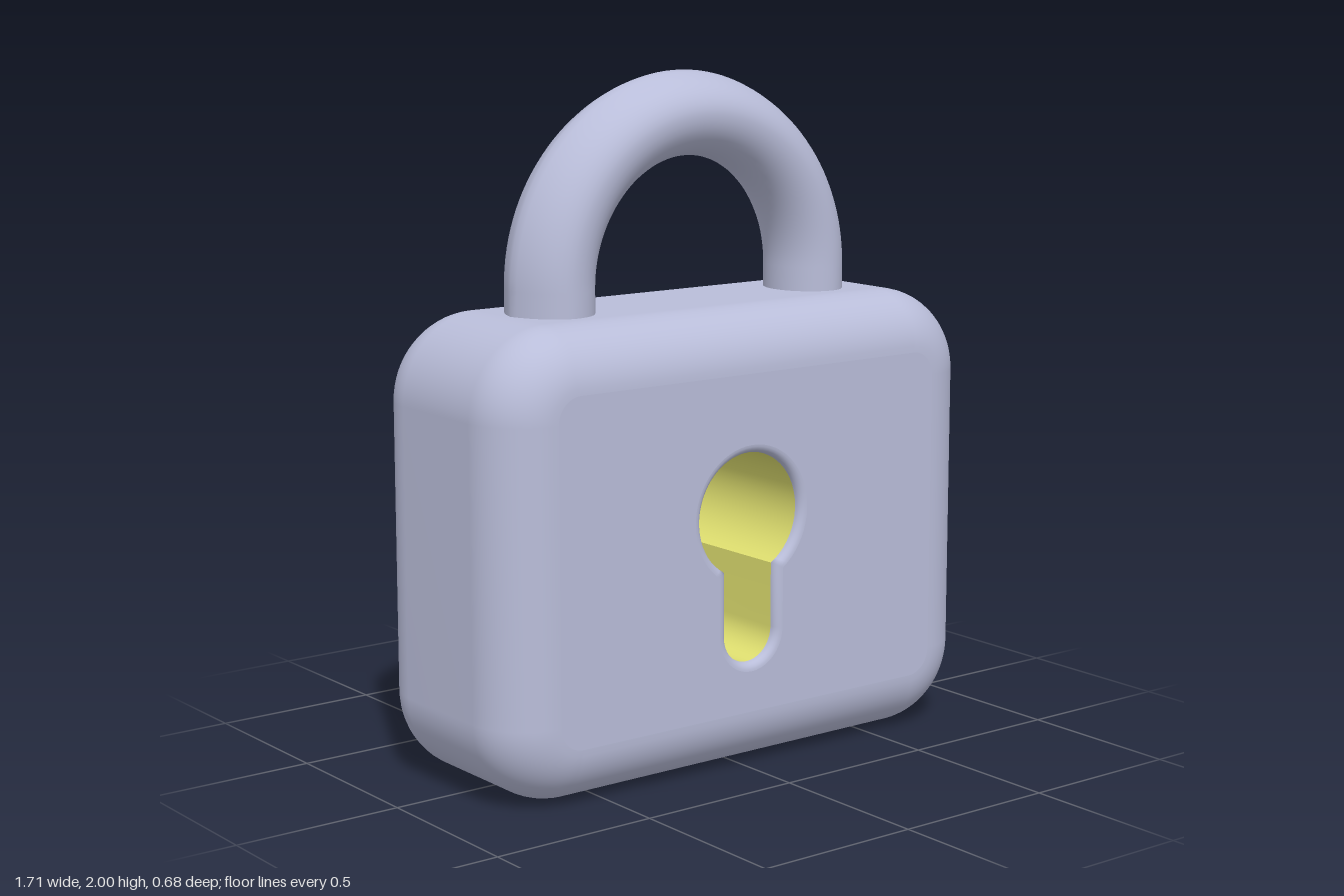
import * as THREE from 'three';
import { toCreasedNormals } from 'three/addons/utils/BufferGeometryUtils.js';

const HALF_W = 0.855, HEIGHT = 1.34, HALF_D = 0.34;
const CORNER = 0.25, BEVEL = 0.175, RIM = 0.025;

// Smooth skin over closed loops that all have the same number of points
function loft(loops) {
  const n = loops[0].length, index = [];
  for (let i = 0; i < loops.length - 1; i++) {
    for (let j = 0; j < n; j++) {
      const k = (j + 1) % n;
      const a = i * n + j, b = i * n + k, c = a + n, d = b + n;
      index.push(a, b, d, a, d, c);
    }
  }
  const geometry = new THREE.BufferGeometry().setFromPoints(loops.flat());
  geometry.setIndex(index);
  geometry.computeVertexNormals();
  return geometry;
}

// Rounded rectangle of the case, shrunk by an inset
function caseOutline(inset, steps = 16) {
  const points = [], r = CORNER - inset;
  const cx = HALF_W - CORNER, cy = HEIGHT / 2 - CORNER;
  [[1, 1], [-1, 1], [-1, -1], [1, -1]].forEach(([sx, sy], q) => {
    for (let i = 0; i <= steps; i++) {
      const a = (q + i / steps) * Math.PI / 2;
      points.push(new THREE.Vector2(sx * cx + r * Math.cos(a), HEIGHT / 2 + sy * cy + r * Math.sin(a)));
    }
  });
  return points;
}

// Round hole above a round-ended slot, widened by grow
function keyhole(grow) {
  const points = [], x = -0.01, y = 0.755, slotY = 0.41;
  const r = 0.18 + grow, w = 0.09 + grow;
  const gap = Math.asin(w / r), start = -Math.PI / 2 + gap, sweep = 2 * Math.PI - 2 * gap;
  for (let i = 0; i <= 48; i++) {
    const a = start + sweep * i / 48;
    points.push(new THREE.Vector2(x + r * Math.cos(a), y + r * Math.sin(a)));
  }
  for (let i = 0; i <= 20; i++) {
    const a = Math.PI + Math.PI * i / 20;
    points.push(new THREE.Vector2(x + w * Math.cos(a), slotY + w * Math.sin(a)));
  }
  return points;
}

const atDepth = (points, z) => points.map(p => new THREE.Vector3(p.x, p.y, z));

// Quarter-round: inset and depth pairs from the side wall to the face
function quarter(radius, steps) {
  return Array.from({ length: steps + 1 }, (_, i) => {
    const a = i / steps * Math.PI / 2;
    return [radius * (1 - Math.cos(a)), HALF_D - radius + radius * Math.sin(a)];
  });
}

// Flat face of the case with the keyhole cut out
function faceGeometry(back) {
  const flip = p => new THREE.Vector2(back ? -p.x : p.x, p.y);
  const shape = new THREE.Shape(caseOutline(BEVEL).map(flip));
  shape.holes.push(new THREE.Path(keyhole(RIM).map(flip)));
  const geometry = new THREE.ShapeGeometry(shape).translate(0, 0, HALF_D);
  return back ? geometry.rotateY(Math.PI) : geometry;
}

// Arch with a slightly pointed outer ridge; the two legs differ a little in thickness
function shackleGeometry() {
  const loops = [], around = 40, steps = 64, baseY = 1.41;
  const section = (t, y) => {
    const side = (1 - Math.cos(t)) / 2;
    const inner = 0.348;
    const outer = THREE.MathUtils.lerp(0.578, 0.602, side) + 0.003 * Math.sin(t);
    const mid = (inner + outer) / 2, h = (outer - inner) / 2;
    const w = THREE.MathUtils.lerp(0.132, 0.142, side);
    return Array.from({ length: around }, (_, j) => {
      const a = j / around * 2 * Math.PI;
      const fromRidge = Math.min(a, 2 * Math.PI - a) / (Math.PI / 2);
      const ridge = fromRidge < 1 ? 0.6 * Math.cos(a) + 0.4 * (1 - fromRidge) : Math.cos(a);
      const r = mid + h * ridge;
      return new THREE.Vector3(r * Math.cos(t), y + r * Math.sin(t), -w * Math.sin(a));
    });
  };
  loops.push(section(0, 1.28));
  for (let i = 0; i <= steps; i++) loops.push(section(Math.PI * i / steps, baseY));
  loops.push(section(Math.PI, 1.28));
  return loft(loops);
}

export function createModel() {
  const model = new THREE.Group();
  model.name = 'padlock';
  const metal = new THREE.MeshStandardMaterial({ color: 0xb9bdd9 });
  const yellow = new THREE.MeshStandardMaterial({ color: 0xe0e070, side: THREE.DoubleSide });
  const add = (name, geometry, material = metal) => {
    const mesh = new THREE.Mesh(geometry, material);
    mesh.name = name;
    model.add(mesh);
  };

  // Case: rounded shell with flat front and back
  const front = quarter(BEVEL, 14);
  const profile = [...front.map(([s, z]) => [s, -z]).reverse(), ...front];
  add('caseShell', loft(profile.map(([s, z]) => atDepth(caseOutline(s), z))));
  add('caseFront', faceGeometry(false));
  add('caseBack', faceGeometry(true));

  // Keyhole: softened rims and a straight wall right through
  const rim = quarter(RIM, 6);
  add('keyholeFrontRim', loft([...rim].reverse().map(([g, z]) => atDepth(keyhole(g), z))));
  add('keyholeBackRim', loft(rim.map(([g, z]) => atDepth(keyhole(g), -z))));
  const wallZ = HALF_D - RIM;
  const wall = loft([atDepth(keyhole(0), wallZ), atDepth(keyhole(0), -wallZ)]);
  add('keyholeWall', toCreasedNormals(wall, 0.6), yellow);

  // Shackle
  add('shackle', shackleGeometry());
  return model;
}
